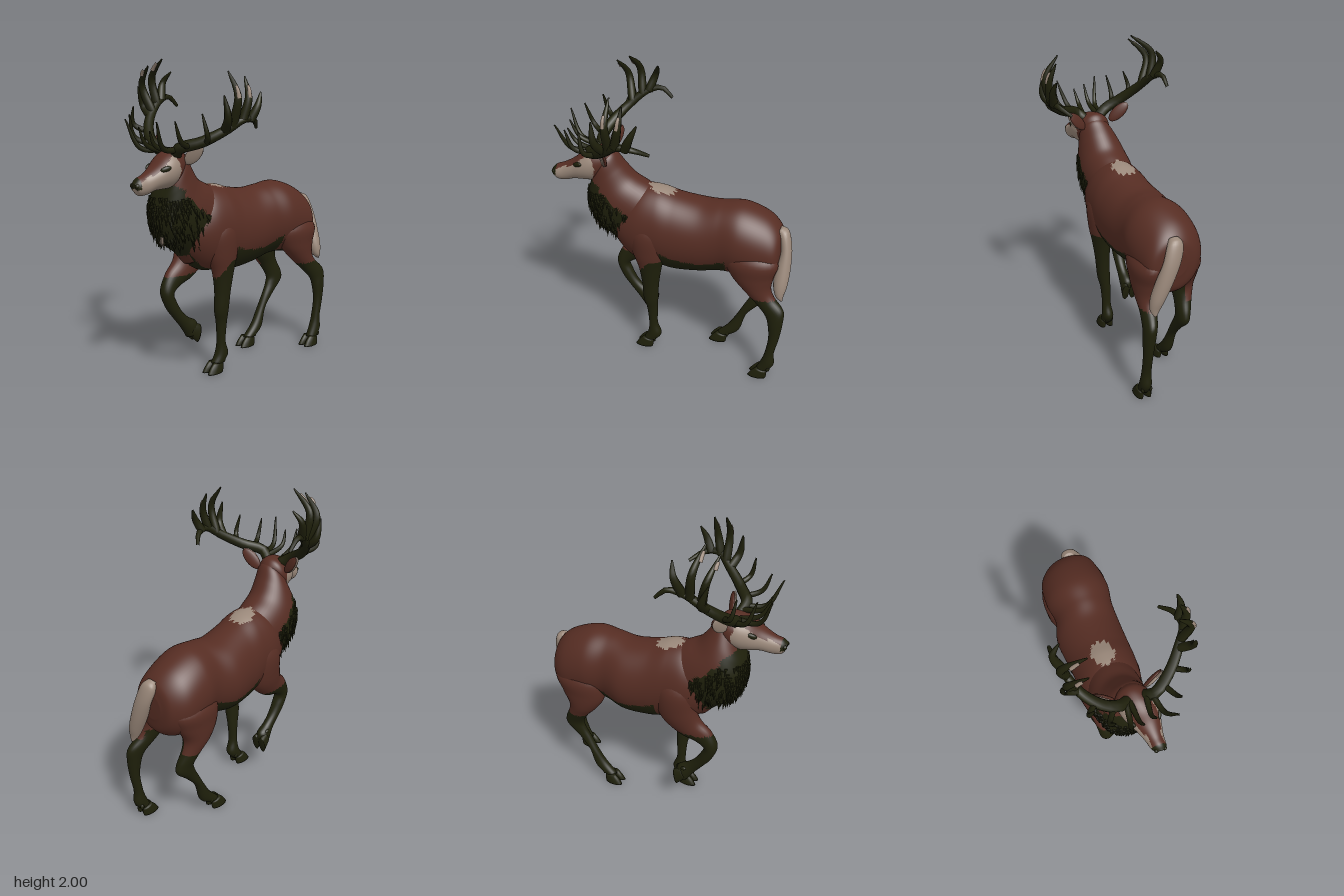
import * as THREE from 'three';
import { mergeGeometries } from 'three/addons/utils/BufferGeometryUtils.js';

const V = (x, y, z) => new THREE.Vector3(x, y, z);
const mat = (name, color) => Object.assign(new THREE.MeshStandardMaterial({ color }), { name });

// Loft of elliptical rings; station = [centreX, z1, y1, z2, y2, halfWidth]
function loft(stations, steps = 5, sides = 28) {
  const curve = (f) => new THREE.CatmullRomCurve3(stations.map(f), false, 'catmullrom', 0.5);
  const a = curve((s) => V(0, s[2], s[1])), b = curve((s) => V(0, s[4], s[3])), w = curve((s) => V(s[0], s[5], 0));
  const n = (stations.length - 1) * steps, pos = [], idx = [];
  for (let i = 0; i <= n; i++) {
    const t = i / n, p = a.getPoint(t), q = b.getPoint(t), c = w.getPoint(t);
    for (let j = 0; j < sides; j++) {
      const th = (j / sides) * Math.PI * 2, k = (1 + Math.cos(th)) / 2;
      pos.push(c.x + Math.sin(th) * Math.max(c.y, 0.003), q.y + (p.y - q.y) * k, q.z + (p.z - q.z) * k);
      const j2 = (j + 1) % sides, r = i * sides;
      if (i < n) idx.push(r + j, r + j2, r + sides + j, r + j2, r + sides + j2, r + sides + j);
    }
  }
  // end caps
  for (const [t, r, flip] of [[0, 0, 0], [1, n * sides, 1]]) {
    const m = a.getPoint(t).add(b.getPoint(t)).multiplyScalar(0.5), c = pos.length / 3;
    pos.push(w.getPoint(t).x, m.y, m.z);
    for (let j = 0; j < sides; j++) {
      const u = r + j, v = r + (j + 1) % sides;
      flip ? idx.push(c, u, v) : idx.push(c, v, u);
    }
  }
  // keep faces pointing outwards
  const P = (i) => V(pos[i * 3], pos[i * 3 + 1], pos[i * 3 + 2]);
  let vol = 0;
  for (let i = 0; i < idx.length; i += 3) vol += P(idx[i]).dot(P(idx[i + 1]).cross(P(idx[i + 2])));
  if (vol < 0) idx.reverse();
  const g = new THREE.BufferGeometry();
  g.setAttribute('position', new THREE.Float32BufferAttribute(pos, 3));
  g.setIndex(idx);
  g.computeVertexNormals();
  return g;
}

// Sort triangles into material groups; rule(x, y, z) returns a material index
function paint(g, rule) {
  const p = g.attributes.position, ix = g.index.array, lists = [[], [], []];
  for (let i = 0; i < ix.length; i += 3) {
    const t = [ix[i], ix[i + 1], ix[i + 2]];
    const mean = (f) => (f(t[0]) + f(t[1]) + f(t[2])) / 3;
    lists[rule(mean((k) => p.getX(k)), mean((k) => p.getY(k)), mean((k) => p.getZ(k)))].push(...t);
  }
  g.setIndex(lists.flat());
  let start = 0;
  lists.forEach((l, m) => { if (l.length) g.addGroup(start, l.length, m); start += l.length; });
  return g;
}

// Tapered tube through a few points
function horn(points, r0, r1) {
  const path = new THREE.CatmullRomCurve3(points.map((p) => V(...p))), n = 18, s = 9;
  const g = new THREE.TubeGeometry(path, n, r0, s), p = g.attributes.position, v = V(0, 0, 0);
  for (let i = 0; i <= n; i++) {
    const t = i / n, c = path.getPointAt(t), k = 1 + (r1 / r0 - 1) * t * t;
    for (let j = 0; j <= s; j++) {
      const id = i * (s + 1) + j;
      v.fromBufferAttribute(p, id).sub(c).multiplyScalar(k).add(c);
      p.setXYZ(id, v.x, v.y, v.z);
    }
  }
  return g;
}

export function createModel() {
  const brown = mat('brown coat', 0x562d23), dark = mat('dark fur', 0x1f200b), pale = mat('pale fur', 0x9a887a);
  const coat = [brown, dark, pale], model = new THREE.Group();
  const add = (name, g, m, parent = model) => {
    const mesh = new THREE.Mesh(g, m);
    mesh.name = name;
    parent.add(mesh);
    return mesh;
  };
  const blob = (name, m, p, s, parent) => {
    const mesh = add(name, new THREE.SphereGeometry(1, 20, 14), m, parent);
    mesh.position.set(...p);
    mesh.scale.set(...s);
    return mesh;
  };
  let seed = 7;
  const rnd = () => (seed = (seed * 16807) % 2147483647) / 2147483647;
  const isMane = (y, z) => z > 0.3 + Math.max(0, y - 1.05) * 0.9 + Math.max(0, 0.95 - y) * 0.6
    - 0.05 * Math.exp(-(((y - 1.03) / 0.07) ** 2)) + 0.014 * Math.sin(y * 90);
  // ragged pale patch on the withers
  const isWithers = (x, y, z) => y > 1.1 && Math.hypot((x + 0.06) / 0.075, (z - 0.085) / 0.095) < 0.9 + 0.12 * Math.sin(x * 170 + z * 60);

  // Torso with dark belly and chest
  add('torso', paint(loft([
    [-0.06, -0.715, 0.98, -0.715, 0.82, 0.07], [-0.06, -0.69, 1.06, -0.69, 0.72, 0.15],
    [-0.075, -0.6, 1.135, -0.6, 0.67, 0.2], [-0.07, -0.45, 1.187, -0.45, 0.69, 0.215],
    [-0.065, -0.31, 1.178, -0.33, 0.69, 0.197], [-0.075, -0.18, 1.165, -0.18, 0.655, 0.215],
    [-0.06, -0.02, 1.19, -0.02, 0.645, 0.21], [-0.05, 0.1, 1.225, 0.1, 0.665, 0.205],
    [-0.045, 0.22, 1.22, 0.25, 0.69, 0.195], [-0.04, 0.32, 1.14, 0.37, 0.8, 0.15],
    [-0.04, 0.36, 1.05, 0.42, 0.9, 0.07]], 10, 72), (x, y, z) => {
    if (isWithers(x, y, z)) return 2;
    if (z > 0.2) return Math.abs(x + 0.04) < 0.08 && (y < 0.9 || isMane(y, z)) ? 1 : 0;
    if (z > 0.05) return y < 0.73 ? 1 : 0;
    if (z > -0.38) return y < 0.788 + 0.045 * ((z + 0.15) / 0.2) ** 2 ? 1 : 0;
    return z > -0.5 && y < 0.72 ? 1 : 0;
  }), coat);

  // Neck and shaggy mane
  const neck = loft([
    [-0.045, 0.0, 1.13, 0.34, 0.74, 0.15], [-0.045, 0.1, 1.19, 0.41, 0.82, 0.165],
    [-0.042, 0.19, 1.24, 0.53, 0.92, 0.172], [-0.035, 0.27, 1.285, 0.585, 1.06, 0.16],
    [-0.02, 0.33, 1.36, 0.57, 1.18, 0.135], [0, 0.38, 1.44, 0.54, 1.26, 0.105],
    [0.01, 0.43, 1.46, 0.53, 1.33, 0.07]], 9, 52);
  const tufts = [], np = neck.attributes.position, nn = neck.attributes.normal;
  for (let i = 0; i < np.count; i++) {
    const p = V(0, 0, 0).fromBufferAttribute(np, i), n = V(0, 0, 0).fromBufferAttribute(nn, i);
    if (!isMane(p.y, p.z) || p.y > 1.19 || p.y < 0.88 || rnd() > 0.42) continue;
    const len = 0.04 + rnd() * 0.03, tuft = new THREE.ConeGeometry(0.011, len, 5);
    const dir = n.clone().multiplyScalar(0.22).add(V((rnd() - 0.5) * 0.3, -1, -0.12)).normalize();
    tuft.applyQuaternion(new THREE.Quaternion().setFromUnitVectors(V(0, 1, 0), dir));
    p.addScaledVector(dir, len * 0.3);
    tufts.push(tuft.translate(p.x, p.y, p.z));
  }
  add('neck', paint(neck, (x, y, z) => (isWithers(x, y, z) ? 2 : isMane(y, z) ? 1 : 0)), coat);
  add('maneTufts', mergeGeometries(tufts), dark);
  add('paleChestHairs', mergeGeometries([-0.03, -0.015, 0].map((x, i) =>
    horn([[x, 0.95, 0.54], [x, 0.92 - 0.01 * i, 0.54], [x, 0.885, 0.525]], 0.007, 0.002))), pale);

  // Head with pale cheeks, brown bridge and dark nose
  const bridge = (z) => 1.45 - (z < 0.64 ? 0.79 * (z - 0.57) : 0.055 + 0.5 * (z - 0.64));
  add('head', paint(loft([
    [0, 0.37, 1.42, 0.42, 1.31, 0.05], [0, 0.42, 1.48, 0.46, 1.27, 0.098],
    [0.015, 0.5, 1.48, 0.52, 1.25, 0.113], [0.03, 0.57, 1.45, 0.58, 1.25, 0.103],
    [0.045, 0.64, 1.395, 0.64, 1.25, 0.077], [0.057, 0.71, 1.355, 0.7, 1.235, 0.056],
    [0.065, 0.76, 1.338, 0.75, 1.235, 0.047], [0.07, 0.79, 1.31, 0.775, 1.255, 0.032]], 8, 44), (x, y, z) => {
    if (z > 0.757 && y > 1.275) return 1;
    if (z < 0.48 + 0.3 * Math.abs(y - 1.36)) return 0;
    return y > bridge(z) - (z < 0.68 ? 0.035 : 0.022) ? 0 : 2;
  }), coat);
  for (const s of [-1, 1]) {
    const eye = blob(s < 0 ? 'rightEye' : 'leftEye', dark, [0.036 + s * 0.083, 1.378, 0.595], [0.013, 0.017, 0.034]);
    eye.rotation.set(0.3, -s * 0.3, 0);
    blob('nostril', dark, [0.068 + s * 0.025, 1.295, 0.775], [0.014, 0.015, 0.016]);

    // Ear, its pale inside facing outwards and forwards
    const ear = new THREE.Group(), up = V(s * 0.68, 0.7, -0.2).normalize();
    const across = up.clone().cross(V(s * 0.75, 0.15, 0.65)).normalize();
    ear.name = s < 0 ? 'rightEar' : 'leftEar';
    ear.position.set(s < 0 ? -0.115 : 0.09, s < 0 ? 1.425 : 1.4, s < 0 ? 0.45 : 0.42);
    ear.quaternion.setFromRotationMatrix(new THREE.Matrix4().makeBasis(across, up, across.clone().cross(up)));
    blob('earBack', brown, [0, 0.072, -0.004], [0.04, 0.082, 0.014], ear);
    blob('earInside', pale, [0, 0.076, 0.008], [0.041, 0.082, 0.012], ear);
    model.add(ear);
  }

  // Antlers: one beam each, then tines as [root, bend, tip], then worn pale streaks
  const antlers = {
    rightAntler: {
      beam: [[-0.03, 1.44, 0.48], [-0.1, 1.49, 0.51], [-0.19, 1.545, 0.49], [-0.29, 1.64, 0.41], [-0.35, 1.74, 0.29], [-0.375, 1.76, 0.2], [-0.38, 1.7, 0.13]],
      tines: [
        [[-0.05, 1.47, 0.49], [-0.07, 1.49, 0.64], [-0.1, 1.66, 0.72]],
        [[-0.03, 1.46, 0.49], [-0.02, 1.51, 0.63], [-0.01, 1.62, 0.69]],
        [[-0.12, 1.49, 0.5], [-0.18, 1.54, 0.6], [-0.16, 1.68, 0.65]],
        [[-0.22, 1.56, 0.47], [-0.28, 1.61, 0.54], [-0.25, 1.72, 0.56]],
        [[-0.3, 1.65, 0.4], [-0.37, 1.71, 0.4], [-0.37, 1.83, 0.44]],
        [[-0.31, 1.68, 0.38], [-0.355, 1.84, 0.42], [-0.24, 1.96, 0.45]],
        [[-0.34, 1.72, 0.32], [-0.36, 1.88, 0.34], [-0.22, 2.0, 0.36]],
        [[-0.35, 1.74, 0.28], [-0.38, 1.85, 0.24], [-0.33, 1.92, 0.21]]],
      streaks: [[[-0.315, 1.93, 0.365], [-0.29, 1.955, 0.365], [-0.265, 1.975, 0.366]], [[-0.31, 1.9, 0.45], [-0.295, 1.92, 0.452], [-0.275, 1.935, 0.455]]],
    },
    leftAntler: {
      beam: [[0.06, 1.44, 0.48], [0.12, 1.49, 0.5], [0.23, 1.53, 0.42], [0.32, 1.6, 0.31], [0.37, 1.66, 0.22], [0.355, 1.65, 0.13], [0.29, 1.6, 0.05]],
      tines: [
        [[0.1, 1.48, 0.49], [0.13, 1.5, 0.62], [0.18, 1.66, 0.7]],
        [[0.07, 1.47, 0.49], [0.055, 1.51, 0.62], [0.07, 1.6, 0.67]],
        [[0.17, 1.5, 0.46], [0.22, 1.54, 0.56], [0.23, 1.66, 0.61]],
        [[0.25, 1.53, 0.4], [0.32, 1.57, 0.45], [0.31, 1.7, 0.48]],
        [[0.32, 1.6, 0.32], [0.38, 1.67, 0.35], [0.37, 1.8, 0.37]],
        [[0.34, 1.62, 0.28], [0.385, 1.79, 0.28], [0.3, 1.93, 0.28]],
        [[0.37, 1.66, 0.23], [0.385, 1.78, 0.2], [0.34, 1.9, 0.19]],
        [[0.365, 1.65, 0.17], [0.385, 1.73, 0.13], [0.37, 1.81, 0.09]]],
      streaks: [[[0.4, 1.78, 0.285], [0.391, 1.82, 0.285], [0.375, 1.85, 0.284]], [[0.397, 1.78, 0.202], [0.39, 1.82, 0.198], [0.375, 1.85, 0.195]]],
    },
  };
  for (const [name, { beam, tines, streaks }] of Object.entries(antlers)) {
    add(name, mergeGeometries([horn(beam, 0.036, 0.01), ...tines.map((t, i) => horn(t, i < 4 ? 0.018 : 0.028, 0.004))]), dark);
    add(name + 'Streaks', mergeGeometries(streaks.map((t) => horn(t, 0.013, 0.008))), pale);
  }

  // Legs: stations, height of the dark stocking, hoof position and tilt
  const legs = {
    leftForeleg: [[[0.06, 0.24, 1.08, 0.06, 1.08, 0.04], [0.08, 0.27, 0.95, 0.03, 0.95, 0.082], [0.082, 0.25, 0.8, 0.03, 0.8, 0.078],
      [0.08, 0.21, 0.68, 0.055, 0.68, 0.06], [0.075, 0.19, 0.55, 0.075, 0.55, 0.047], [0.066, 0.185, 0.42, 0.085, 0.42, 0.043],
      [0.056, 0.165, 0.33, 0.09, 0.33, 0.034], [0.05, 0.155, 0.2, 0.095, 0.2, 0.03], [0.045, 0.165, 0.12, 0.07, 0.11, 0.039],
      [0.042, 0.195, 0.06, 0.115, 0.045, 0.036]], (x, z) => 0.76 - Math.max(0, z - 0.12) * 1.4, [0.041, 0, 0.168], 0],
    rightForeleg: [[[-0.16, 0.24, 1.08, 0.06, 1.08, 0.04], [-0.175, 0.29, 0.95, 0.03, 0.95, 0.088], [-0.17, 0.31, 0.82, 0.06, 0.75, 0.085],
      [-0.16, 0.34, 0.735, 0.19, 0.62, 0.065], [-0.15, 0.41, 0.66, 0.31, 0.57, 0.05], [-0.143, 0.455, 0.55, 0.365, 0.53, 0.046],
      [-0.14, 0.42, 0.44, 0.345, 0.47, 0.042], [-0.138, 0.365, 0.36, 0.305, 0.4, 0.036], [-0.138, 0.315, 0.295, 0.25, 0.345, 0.035],
      [-0.142, 0.28, 0.245, 0.185, 0.305, 0.043], [-0.145, 0.255, 0.205, 0.172, 0.24, 0.042]], () => 0.645, [-0.145, 0.24, 0.172], 1.35],
    leftHindLeg: [[[0.01, -0.42, 0.98, -0.62, 0.98, 0.06], [0.06, -0.36, 0.87, -0.71, 0.87, 0.092], [0.065, -0.41, 0.75, -0.69, 0.76, 0.085],
      [0.07, -0.5, 0.65, -0.68, 0.68, 0.07], [0.08, -0.585, 0.57, -0.705, 0.62, 0.052], [0.1, -0.66, 0.49, -0.775, 0.545, 0.042],
      [0.11, -0.685, 0.42, -0.78, 0.46, 0.038], [0.115, -0.695, 0.32, -0.765, 0.33, 0.03], [0.115, -0.68, 0.2, -0.74, 0.2, 0.03],
      [0.115, -0.66, 0.13, -0.745, 0.11, 0.036], [0.115, -0.63, 0.06, -0.705, 0.045, 0.034]],
      (x) => (x < 0.05 ? 0.67 : 0.61), [0.112, 0, -0.66], 0],
    rightHindLeg: [[[-0.14, -0.4, 0.98, -0.6, 0.98, 0.06], [-0.19, -0.33, 0.87, -0.68, 0.87, 0.1], [-0.2, -0.33, 0.74, -0.64, 0.76, 0.09],
      [-0.205, -0.39, 0.64, -0.59, 0.66, 0.074], [-0.2, -0.46, 0.56, -0.6, 0.58, 0.055], [-0.185, -0.51, 0.47, -0.64, 0.49, 0.042],
      [-0.18, -0.5, 0.41, -0.64, 0.43, 0.038], [-0.175, -0.46, 0.33, -0.56, 0.35, 0.032], [-0.175, -0.41, 0.23, -0.48, 0.25, 0.03],
      [-0.17, -0.355, 0.14, -0.435, 0.11, 0.036], [-0.17, -0.28, 0.06, -0.355, 0.045, 0.034]],
      (x) => (x > -0.19 ? 0.7 : 0.56), [-0.17, 0, -0.308], 0],
  };
  for (const [name, [stations, stocking, hoofAt, tilt]] of Object.entries(legs)) {
    add(name, paint(loft(stations, 6, 28), (x, y, z) => (y < stocking(x, z) ? 1 : 0)), coat);
    // Cloven hoof with dewclaws
    const hoof = new THREE.Group();
    hoof.name = name + 'Hoof';
    for (const s of [-1, 1]) {
      const x = s * 0.025;
      add('toe', loft([[x, 0.03, 0.07, -0.045, 0.055, 0.02], [x, 0.06, 0.037, -0.045, 0.025, 0.025], [x * 1.1, 0.083, 0, -0.04, 0, 0.026]], 4, 14), dark, hoof);
      blob('dewclaw', dark, [x, 0.075, -0.05], [0.012, 0.02, 0.014], hoof);
    }
    hoof.position.set(...hoofAt);
    hoof.rotation.x = tilt;
    model.add(hoof);
  }

  // Tail
  add('tail', loft([
    [-0.05, -0.7, 1.075, -0.67, 1.04, 0.03], [-0.045, -0.745, 1.05, -0.69, 0.99, 0.052], [-0.02, -0.775, 0.95, -0.705, 0.92, 0.056],
    [0.02, -0.785, 0.83, -0.69, 0.82, 0.055], [0.06, -0.78, 0.72, -0.69, 0.72, 0.047], [0.08, -0.765, 0.65, -0.71, 0.65, 0.032],
    [0.085, -0.76, 0.61, -0.74, 0.62, 0.01]]), pale);
  return model;
}
